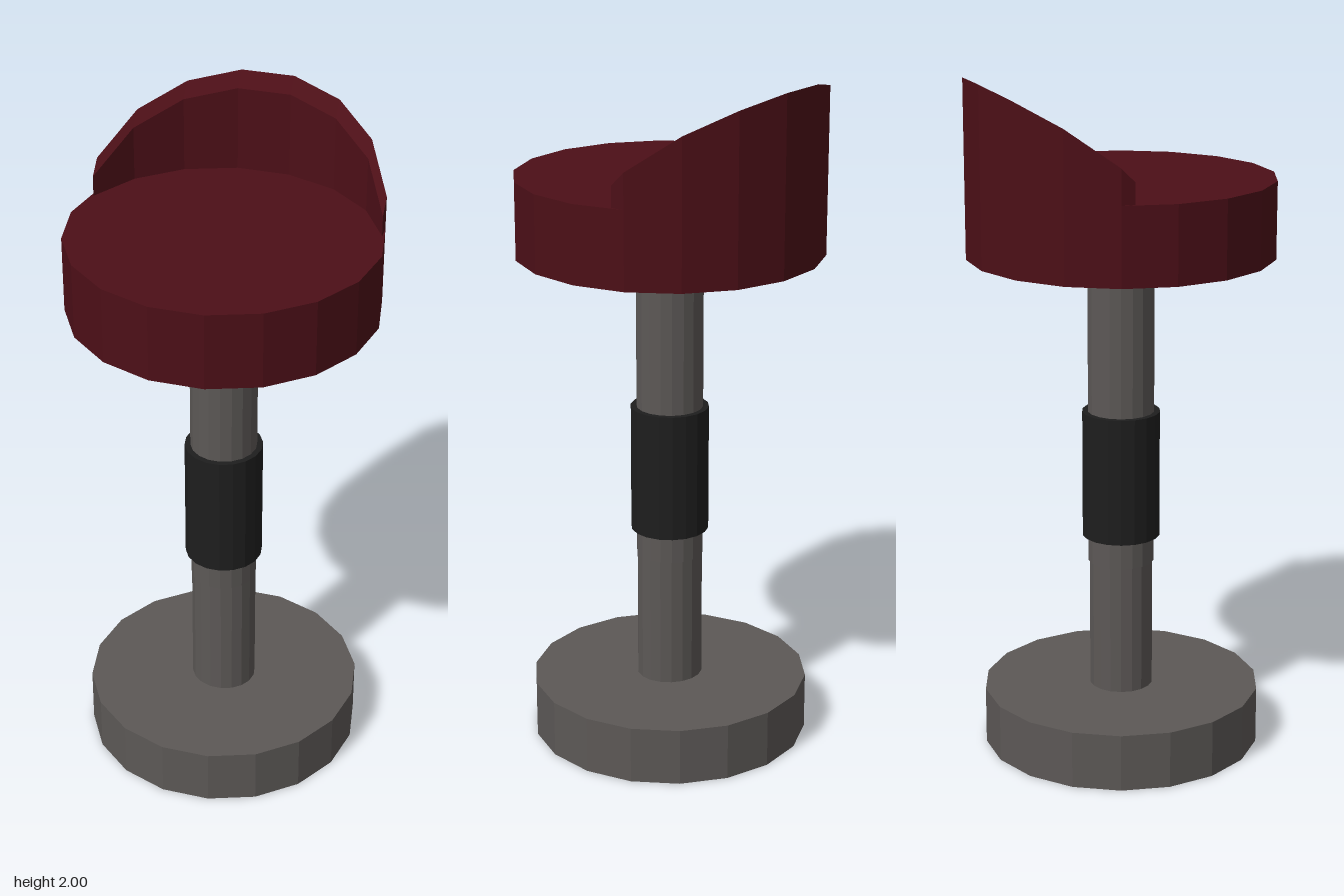
import * as THREE from 'three';

const SIDES = 18;
const material = (color) =>
  new THREE.MeshStandardMaterial({ color, flatShading: true });

// Upright faceted drum between two heights
function drum(name, radius, y0, y1, mat) {
  const mesh = new THREE.Mesh(
    new THREE.CylinderGeometry(radius, radius, y1 - y0, SIDES), mat);
  mesh.position.y = (y0 + y1) / 2;
  mesh.name = name;
  return mesh;
}

// Wrap-around back: follows the seat rim, with its inner edge shifted in and down
function backrestGeometry(radius, bottom) {
  const heights = [1.81, 1.91, 1.97, 2.0, 2.0, 1.97, 1.91, 1.81];
  const shift = { x: -0.038, y: -0.04, z: 0.014 };
  const positions = [];
  const index = [];
  heights.forEach((top, i) => {
    const a = (i * 2 * Math.PI) / SIDES;
    const x = radius * Math.sin(a);
    const z = -radius * Math.cos(a);
    // outer bottom, outer top, inner top, inner bottom
    positions.push(
      x, bottom, z,
      x, top, z,
      x + shift.x, top + shift.y, z + shift.z,
      x + shift.x, bottom, z + shift.z);
  });
  const last = (heights.length - 1) * 4;
  for (let i = 0; i < last; i += 4) {
    for (let j = 0; j < 4; j++) {
      const k = (j + 1) % 4;
      index.push(i + j, i + k, i + 4 + j, i + k, i + 4 + k, i + 4 + j);
    }
  }
  // end caps
  index.push(0, 2, 1, 0, 3, 2);
  index.push(last, last + 1, last + 2, last, last + 2, last + 3);

  const geometry = new THREE.BufferGeometry();
  geometry.setAttribute('position', new THREE.Float32BufferAttribute(positions, 3));
  geometry.setIndex(index);
  const flat = geometry.toNonIndexed();
  flat.computeVertexNormals();
  return flat;
}

export function createModel() {
  const stool = new THREE.Group();
  stool.name = 'barStool';
  const metal = material(0x5c5856);
  const rubber = material(0x1e1e1e);
  const leather = material(0x4c0f17);

  // Foot and column
  const lowerPole = drum('lowerPole', 0.098, 0.16, 0.56, metal);
  lowerPole.scale.x = 0.96;
  stool.add(
    drum('base', 0.412, 0, 0.17, metal),
    lowerPole,
    drum('upperPole', 0.098, 0.56, 1.5, metal),
    drum('collar', 0.115, 0.64, 1.02, rubber));

  // Seat and back
  const backrest = new THREE.Mesh(backrestGeometry(0.446, 1.71), leather);
  backrest.name = 'backrest';
  stool.add(drum('seat', 0.446, 1.485, 1.71, leather), backrest);
  return stool;
}
